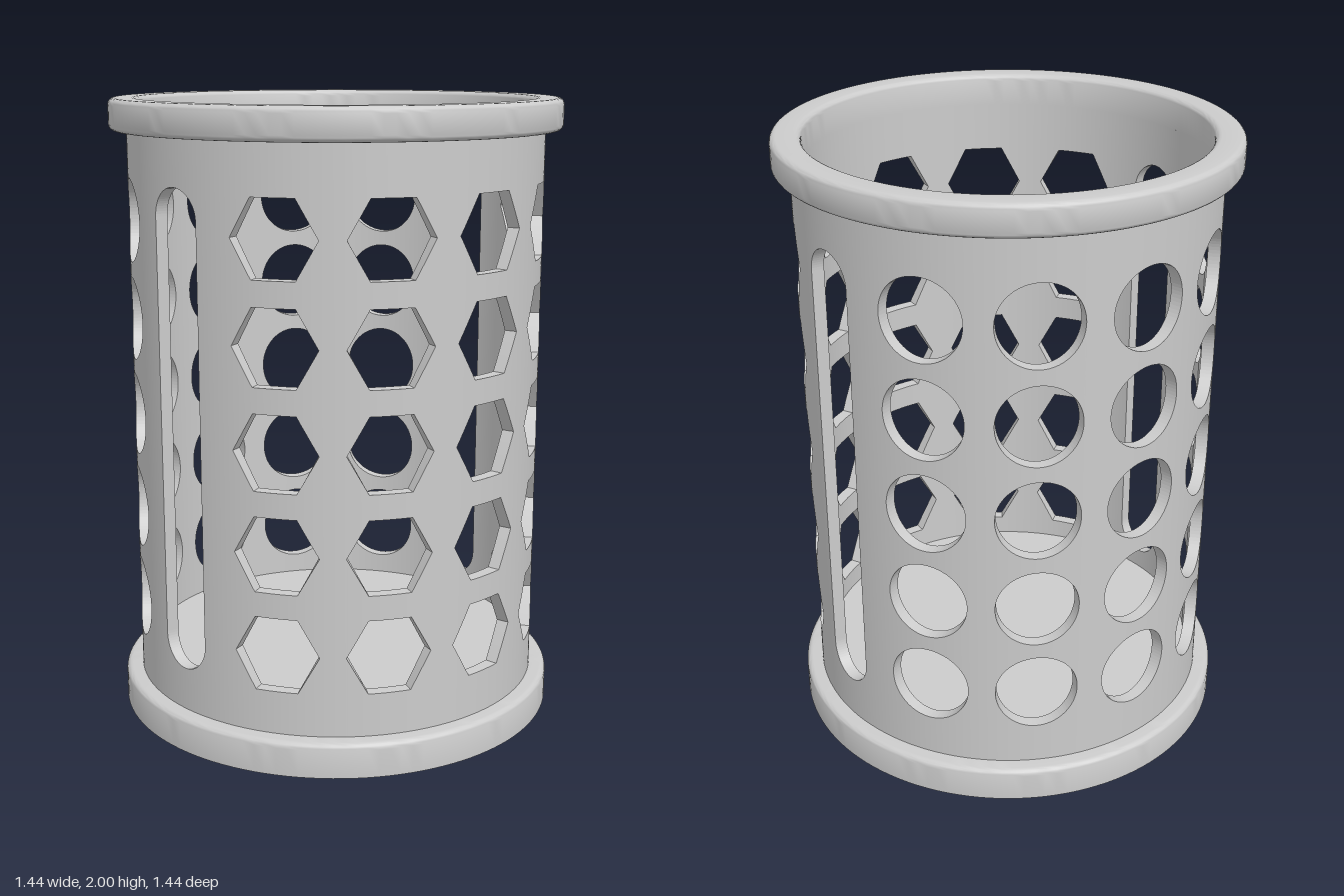
import * as THREE from 'three';
import { toCreasedNormals } from 'three/addons/utils/BufferGeometryUtils.js';

const OUTER = 0.665, INNER = 0.625, RIM = 0.72;
const WALL_BOTTOM = 0.1, WALL_TOP = 1.9;
const COLUMNS = 12, HOLE_STEPS = 36;

// Hole outlines: w = half width, side = straight side half height, half(u) = half height at offset u
const round = (r, u) => Math.sqrt(Math.max(0, r * r - u * u));
const rows = (mid, pitch) => [-2, -1, 0, 1, 2].map((i) => mid + i * pitch);
const CIRCLE = { w: 0.131, side: 0, centres: rows(1.002, 0.312), half: (u) => round(0.131, u) };
const HEX = {
  w: 0.134, side: 0, centres: rows(0.996, 0.315),
  half: (u) => Math.min(0.118, (0.134 - Math.abs(u)) * 0.118 / 0.067),
};
const SLOT = { w: 0.094, side: 0.66, centres: [1.002], half: (u) => 0.66 + round(0.094, u) };

function wallGeometry() {
  const positions = [], normals = [];
  const point = (r, a, y) => new THREE.Vector3(r * Math.cos(a), y, r * Math.sin(a));

  // One quad; curve = 1 or -1 gives smooth cylinder normals, 0 a flat normal
  function quad(a, b, c, d, curve = 0) {
    const flat = b.clone().sub(a).cross(c.clone().sub(a)).normalize();
    for (const p of [a, b, c, a, c, d]) {
      const n = curve ? new THREE.Vector3(p.x, 0, p.z).normalize().multiplyScalar(curve) : flat;
      positions.push(p.x, p.y, p.z);
      normals.push(n.x, n.y, n.z);
    }
  }

  // Solid piece between angles a0 and a1; lo and hi are [y at a0, y at a1]
  function band(a0, a1, lo, hi) {
    const [o0, o1, i0, i1] = [[OUTER, a0, 0], [OUTER, a1, 1], [INNER, a0, 0], [INNER, a1, 1]]
      .map(([r, a, k]) => ({ lo: point(r, a, lo[k]), hi: point(r, a, hi[k]) }));
    quad(o0.lo, o0.hi, o1.hi, o1.lo, 1);
    quad(i0.lo, i1.lo, i1.hi, i0.hi, -1);
    quad(o0.lo, o1.lo, i1.lo, i0.lo);
    quad(o0.hi, i0.hi, i1.hi, o1.hi);
  }

  const edge = Math.PI / COLUMNS * OUTER;
  for (let col = 0; col < COLUMNS; col++) {
    const middle = col * 2 * Math.PI / COLUMNS;
    // Slots front and back, hexagons on the left half, circles on the right half
    const hole = col % 6 === 3 ? SLOT : Math.cos(middle) > 0 ? HEX : CIRCLE;
    const angle = (u) => middle + u / OUTER;

    // Plain strips beside the holes
    for (const [u0, u1] of [[-edge, -hole.w], [hole.w, edge]]) {
      const mid = (u0 + u1) / 2;
      for (const [s, e] of [[u0, mid], [mid, u1]]) {
        band(angle(s), angle(e), [WALL_BOTTOM, WALL_BOTTOM], [WALL_TOP, WALL_TOP]);
      }
    }

    // Narrow strips across the holes, interrupted at each one
    for (let i = 0; i < HOLE_STEPS; i++) {
      const us = [i, i + 1].map((k) => -hole.w * Math.cos(Math.PI * k / HOLE_STEPS));
      const halves = us.map(hole.half);
      let lo = [WALL_BOTTOM, WALL_BOTTOM];
      for (const c of hole.centres) {
        band(angle(us[0]), angle(us[1]), lo, halves.map((h) => c - h));
        lo = halves.map((h) => c + h);
      }
      band(angle(us[0]), angle(us[1]), lo, [WALL_TOP, WALL_TOP]);
    }

    // Straight sides of the slots
    if (hole.side) {
      for (const s of [-1, 1]) {
        const a = angle(s * hole.w), c = hole.centres[0];
        const corners = [
          point(OUTER, a, c - hole.side), point(OUTER, a, c + hole.side),
          point(INNER, a, c + hole.side), point(INNER, a, c - hole.side),
        ];
        quad(...(s < 0 ? corners : corners.reverse()));
      }
    }
  }

  const geometry = new THREE.BufferGeometry();
  geometry.setAttribute('position', new THREE.Float32BufferAttribute(positions, 3));
  geometry.setAttribute('normal', new THREE.Float32BufferAttribute(normals, 3));
  return geometry;
}

// Quarter-round fillet for a lathe profile
function fillet(x, y, r, start) {
  return Array.from({ length: 6 }, (_, i) => {
    const t = start + i * Math.PI / 10;
    return [x + r * Math.cos(t), y + r * Math.sin(t)];
  });
}

function lathe(profile) {
  const points = profile.map(([x, y]) => new THREE.Vector2(x, y));
  return toCreasedNormals(new THREE.LatheGeometry(points, 128), 0.6);
}

export function createModel() {
  const group = new THREE.Group();
  const material = new THREE.MeshStandardMaterial({ color: 0xcccccc });
  const add = (name, geometry) => {
    const mesh = new THREE.Mesh(geometry, material);
    mesh.name = name;
    group.add(mesh);
  };
  const f = 0.02;

  // Closed base with its flange and raised inner floor
  add('base', lathe([
    [0, 0], [RIM, 0], ...fillet(RIM - f, 0.11 - f, f, 0),
    [0.645, 0.11], [0.645, 0.18], [0, 0.18],
  ]));

  add('perforatedWall', wallGeometry());

  // Rounded collar round the open top
  add('topRim', lathe([
    [INNER, WALL_TOP],
    ...fillet(RIM - f, WALL_TOP + f, f, -Math.PI / 2),
    ...fillet(RIM - f, 2 - f, f, 0),
    ...fillet(INNER + f, 2 - f, f, Math.PI / 2),
    [INNER, WALL_TOP],
  ]));

  return group;
}
